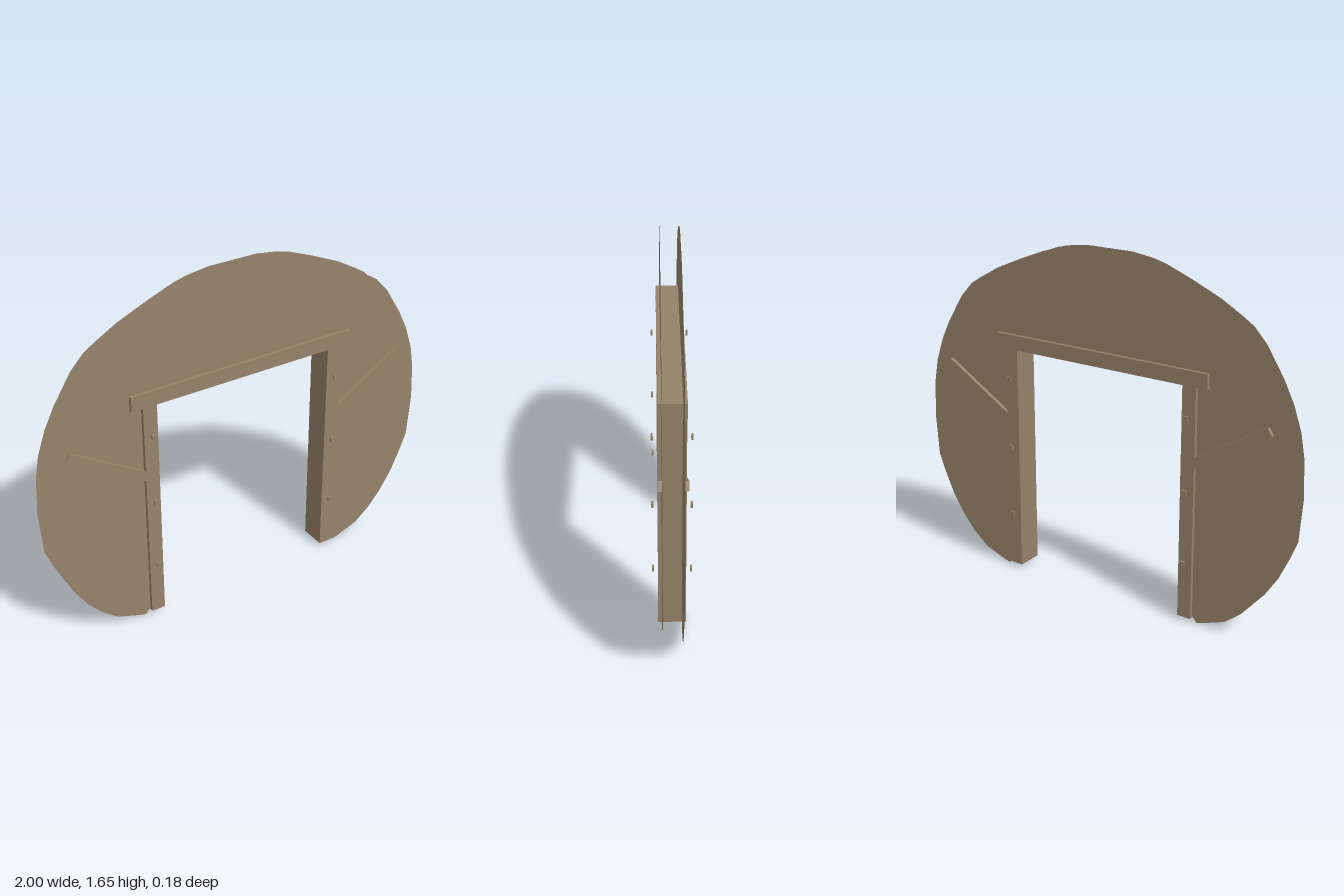
import * as THREE from 'three';

// Right half of a closed outline, mirrored to make the full symmetric shape
function mirroredShape(half) {
  const left = half.map(([x, y]) => [-x, y]).reverse();
  return new THREE.Shape([...half, ...left].map(([x, y]) => new THREE.Vector2(x, y)));
}

export function createModel() {
  const model = new THREE.Group();
  model.name = 'roundDoorSurround';

  const wood = new THREE.MeshStandardMaterial({ color: 0x96836a });
  wood.name = 'brownWood';
  wood.side = THREE.DoubleSide;

  function add(name, geometry, x = 0, y = 0, z = 0) {
    const mesh = new THREE.Mesh(geometry, wood);
    mesh.name = name;
    mesh.position.set(x, y, z);
    model.add(mesh);
    return mesh;
  }

  const frameDepth = 0.126;
  const frameFace = frameDepth / 2;
  const sheetZ = 0.045;

  // Door frame: two legs and an overhanging lintel in one piece
  const frameShape = mirroredShape([
    [0.575, 1.2], [0.575, 1.13], [0.52, 1.13], [0.52, 0.02], [0.452, 0.02], [0.452, 1.13],
  ]);
  add('doorFrame', new THREE.ExtrudeGeometry(frameShape, { depth: frameDepth, bevelEnabled: false }),
    0, 0, -frameFace);

  // Rounded wall outline, cut out around the doorway
  const wallShape = mirroredShape([
    [0.12, 1.65], [0.23, 1.635], [0.29, 1.62], [0.42, 1.57], [0.57, 1.505],
    [0.675, 1.445], [0.73, 1.41], [0.795, 1.34], [0.88, 1.205], [0.93, 1.105],
    [0.97, 0.99], [0.99, 0.88], [1, 0.7], [0.985, 0.49], [0.95, 0.4],
    [0.9, 0.29], [0.835, 0.19], [0.77, 0.115], [0.69, 0.05], [0.575, 0.008],
    [0.545, 0], [0.52, 0.028], [0.5, 0.028], [0.5, 1.15],
  ]);

  // Slanted brace running up and outward from a leg
  const braceShape = (side) => new THREE.Shape(
    [[0.51, 0.752], [0.89, 0.985], [0.868, 1.02], [0.51, 0.802]]
      .map(([x, y]) => new THREE.Vector2(side * x, y)));

  for (const face of [1, -1]) {
    const faceName = face > 0 ? 'front' : 'back';
    // Open wall sheets, with no rim between them
    add(faceName + 'Wall', new THREE.ShapeGeometry(wallShape), 0, 0, face * sheetZ);

    for (const side of [1, -1]) {
      const sideName = side > 0 ? 'Left' : 'Right';
      const thickness = frameFace - sheetZ;
      add(faceName + sideName + 'Brace',
        new THREE.ExtrudeGeometry(braceShape(side), { depth: thickness, bevelEnabled: false }),
        0, 0, face > 0 ? sheetZ : -frameFace);

      // Small square studs standing just off the legs
      for (const y of [0.3, 0.645, 0.99]) {
        add(faceName + sideName + 'Stud', new THREE.BoxGeometry(0.022, 0.022, 0.009),
          side * 0.485, y, face * 0.0855);
      }
    }
  }

  return model;
}
